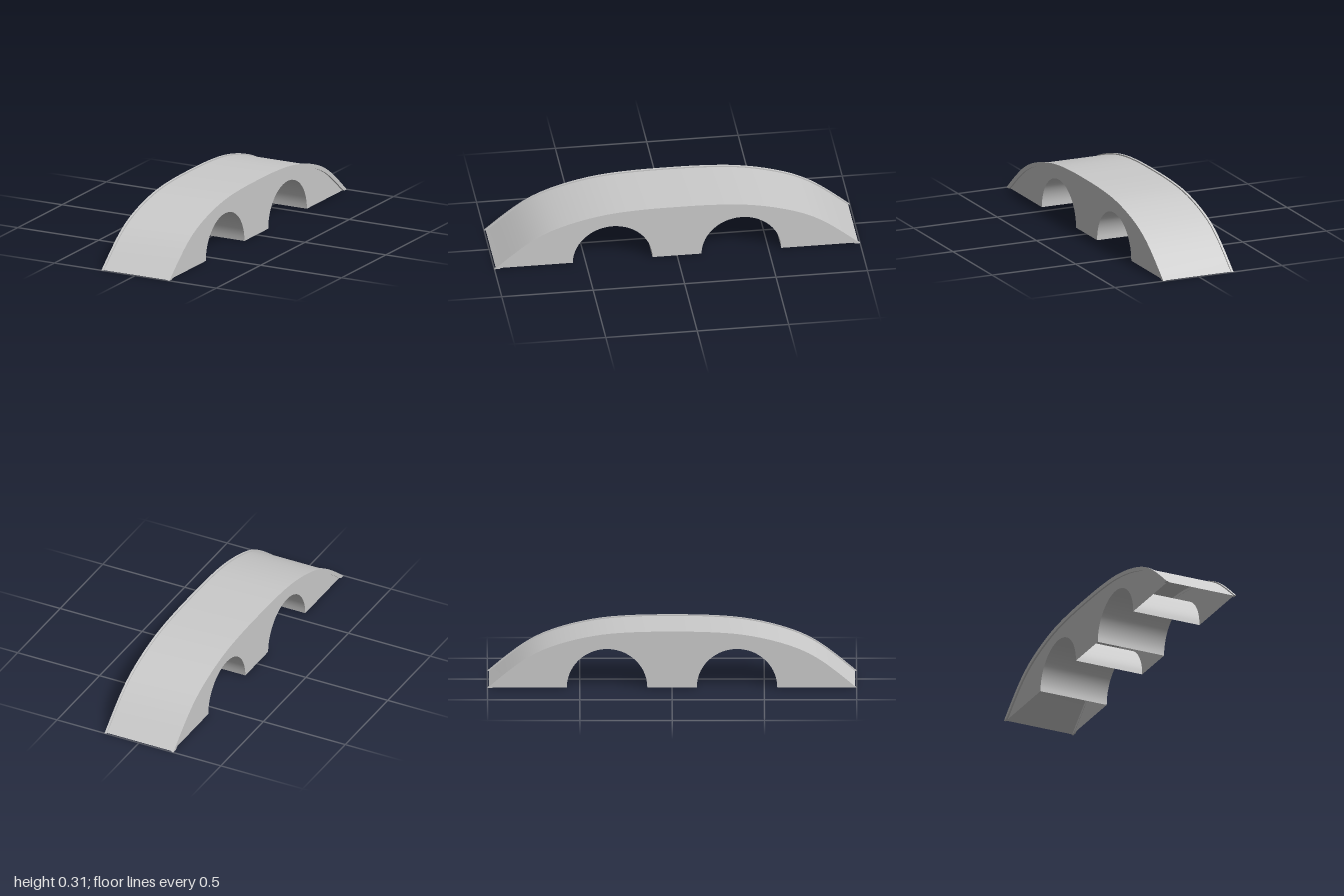
import * as THREE from 'three';
import { toCreasedNormals } from 'three/addons/utils/BufferGeometryUtils.js';

const HALF = 0.2;            // half distance between the side walls
const ARCH = { z: 0.352, rz: 0.218, ry: 0.213 };

// Crown line of the bridge as (z, y), mirrored about the middle
const side = [[1, 0], [0.9, 0.083], [0.8, 0.157], [0.7, 0.211], [0.55, 0.261], [0.38, 0.295], [0.2, 0.309]];
const crown = new THREE.CatmullRomCurve3([
  ...side.map(([z, y]) => new THREE.Vector3(-z, y, 0)),
  new THREE.Vector3(0, 0.312, 0),
  ...side.slice().reverse().map(([z, y]) => new THREE.Vector3(z, y, 0)),
], false, 'centripetal');

// Points of the crown line moved inward by d, with both ends kept on the ground
function crownPoints(d, n = 40) {
  const pts = [];
  for (let i = 0; i <= n; i++) {
    const p = crown.getPointAt(i / n), t = crown.getTangentAt(i / n);
    if (i === 0 || i === n) pts.push(new THREE.Vector2(Math.sign(p.x) * (1 - 1.28 * d), 0));
    else pts.push(new THREE.Vector2(p.x + t.y * d, p.y - t.x * d));
  }
  return pts;
}

// Half-round arch from +z to -z
function archPoints(centre, n = 28) {
  return Array.from({ length: n + 1 }, (_, i) => {
    const a = (i / n) * Math.PI;
    return new THREE.Vector2(centre + ARCH.rz * Math.cos(a), ARCH.ry * Math.sin(a));
  });
}

// Smooth sheet across the width, following a (z, y) line
function sheet(points, half) {
  const g = new THREE.PlaneGeometry(1, 1, 1, points.length - 1);
  const pos = g.attributes.position;
  for (let i = 0; i < pos.count; i++) {
    const p = points[Math.floor(i / 2)];
    pos.setXYZ(i, i % 2 ? half : -half, p.y, p.x);
  }
  g.computeVertexNormals();
  return g;
}

export function createModel() {
  const model = new THREE.Group();
  const material = new THREE.MeshStandardMaterial({ color: 0xcccccc, side: THREE.DoubleSide });
  const add = (name, geometry, x = 0) => {
    const mesh = new THREE.Mesh(geometry, material);
    mesh.name = name;
    mesh.position.x = x;
    model.add(mesh);
  };

  // Road deck
  add('deck', sheet(crownPoints(0.007), HALF));

  // Barrel vaults under the deck; the piers are open below
  add('frontVault', sheet(archPoints(ARCH.z).reverse(), HALF));
  add('backVault', sheet(archPoints(-ARCH.z).reverse(), HALF));

  // Side walls with both arches cut out
  const wallShape = new THREE.Shape([
    ...crownPoints(0.007),
    ...archPoints(ARCH.z),
    ...archPoints(-ARCH.z),
  ]);
  const wall = new THREE.ShapeGeometry(wallShape).rotateY(-Math.PI / 2);
  add('leftWall', wall, HALF);
  add('rightWall', wall, -HALF);

  // Raised rims along both edges
  const rimShape = new THREE.Shape([...crownPoints(0), ...crownPoints(0.022).reverse()]);
  const rim = toCreasedNormals(
    new THREE.ExtrudeGeometry(rimShape, { depth: 0.012, bevelEnabled: false })
      .rotateY(-Math.PI / 2).translate(0.006, 0, 0), 0.6);
  add('leftRim', rim, 0.204);
  add('rightRim', rim, -0.204);

  return model;
}
